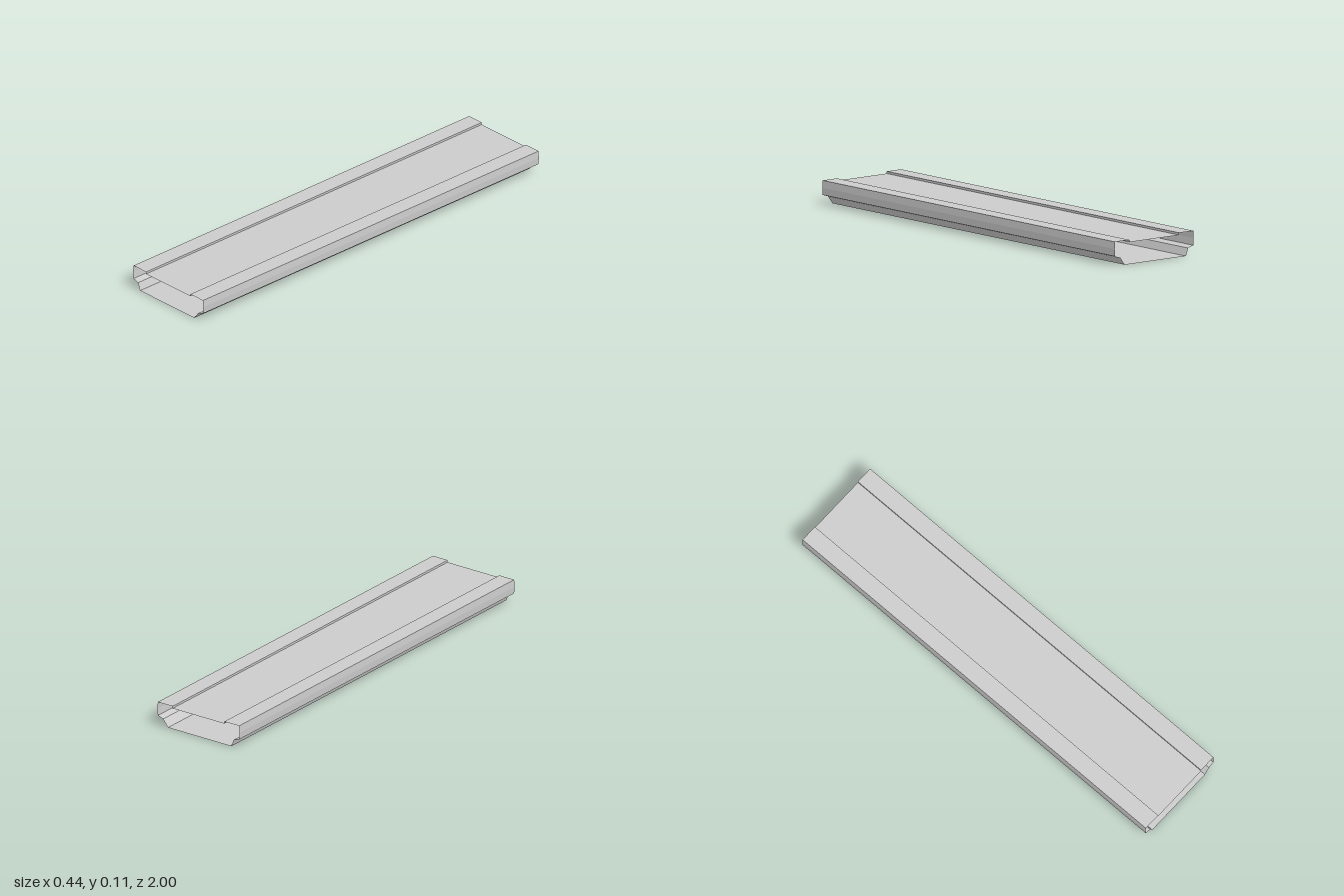
import * as THREE from 'three';

const HALF_LENGTH = 1;
const material = new THREE.MeshStandardMaterial({
  color: 0xcccccc, flatShading: true, side: THREE.DoubleSide,
});

// Sweeps an open cross-section (x, y points, counter-clockwise from the front) along z.
function sheet(name, points) {
  const pos = [];
  for (let i = 0; i < points.length - 1; i++) {
    const [ax, ay] = points[i];
    const [bx, by] = points[i + 1];
    const a0 = [ax, ay, HALF_LENGTH], a1 = [ax, ay, -HALF_LENGTH];
    const b0 = [bx, by, HALF_LENGTH], b1 = [bx, by, -HALF_LENGTH];
    pos.push(...a0, ...a1, ...b1, ...a0, ...b1, ...b0);
  }
  const geometry = new THREE.BufferGeometry();
  geometry.setAttribute('position', new THREE.Float32BufferAttribute(pos, 3));
  geometry.computeVertexNormals();
  const mesh = new THREE.Mesh(geometry, material);
  mesh.name = name;
  return mesh;
}

// Side rail from the floor edge up: sloped skirt, ledge, slightly bowed wall, lip, step.
const rail = (floorX) => [
  [floorX, 0], [0.191, 0.034], [0.22, 0.043], [0.222, 0.075],
  [0.22, 0.107], [0.14, 0.107], [0.14, 0.097],
];
const mirror = (points) => points.map(([x, y]) => [-x, y]).reverse();

export function createModel() {
  const group = new THREE.Group();
  group.name = 'hollowPlank';

  const leftRail = rail(0.165);
  const rightRail = mirror(rail(0.178));
  const first = (p) => p[0];
  const last = (p) => p[p.length - 1];

  group.add(
    sheet('leftRail', leftRail),
    sheet('topPanel', [last(leftRail), first(rightRail)]),
    sheet('rightRail', rightRail),
    sheet('bottomPanel', [last(rightRail), first(leftRail)]),
  );
  return group;
}
